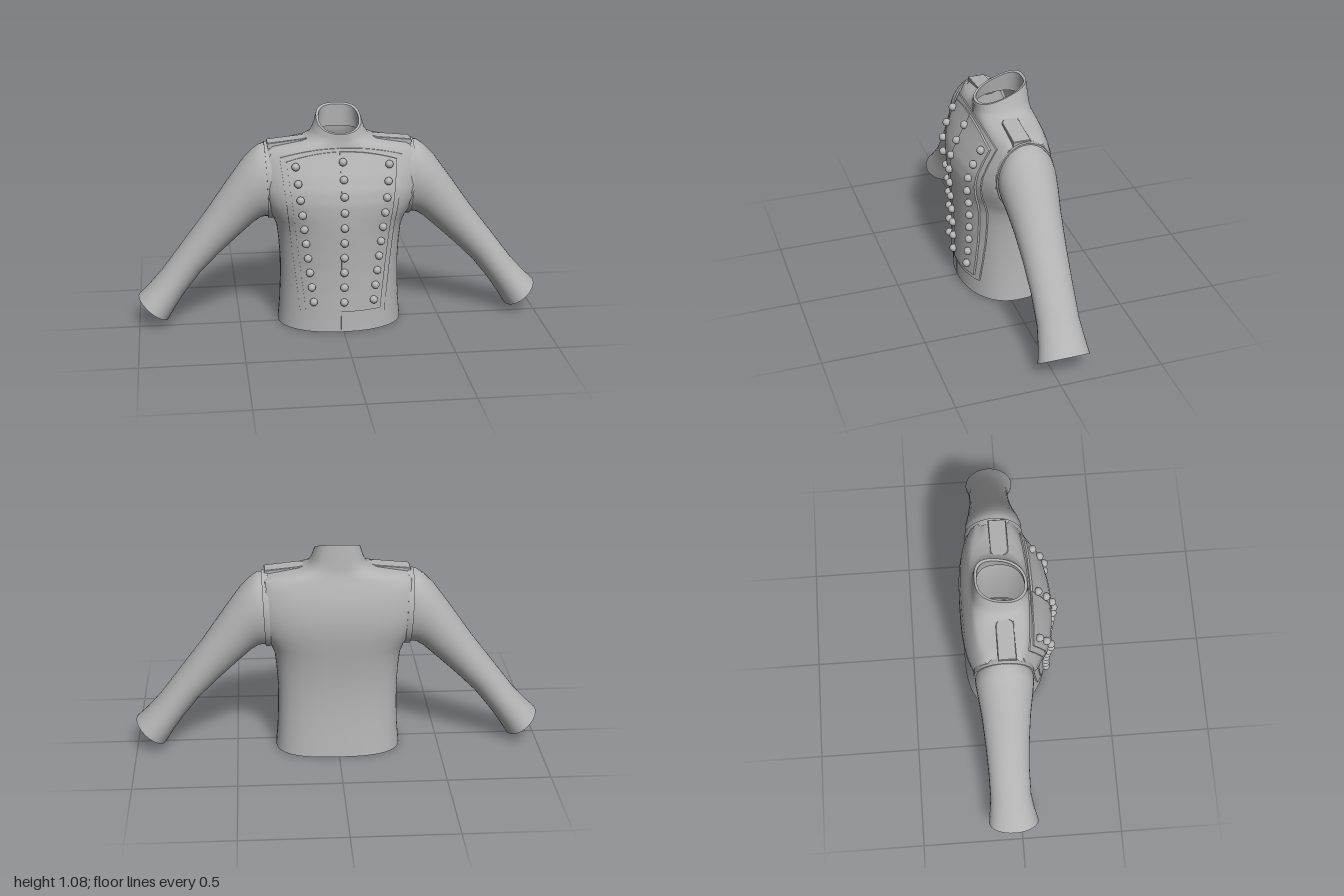
import * as THREE from 'three';
import { toCreasedNormals } from 'three/addons/utils/BufferGeometryUtils.js';

const cloth = new THREE.MeshStandardMaterial({ color: 0xb3b3b3, side: THREE.DoubleSide });
cloth.name = 'grey cloth';

const MID = -0.035;     // z of the side seams
const ARMHOLE = 0.352;  // x of the flat armhole wall
const N_FRONT = 2.2, N_BACK = 2.7;

// Torso rings: [height, half width, front z, back z, slant]
const BODY = [
  [0, 0.308, 0.187, -0.232, 0],
  [0.1, 0.299, 0.183, -0.22, 0],
  [0.2, 0.295, 0.181, -0.209, 0],
  [0.32, 0.294, 0.182, -0.203, 0],
  [0.42, 0.3, 0.187, -0.208, 0],
  [0.5, 0.309, 0.192, -0.217, 0],
  [0.55, 0.328, 0.195, -0.224, 0],
  [0.6, 0.365, 0.197, -0.231, 0],
  [0.66, 0.4, 0.196, -0.237, 0],
  [0.72, 0.42, 0.184, -0.235, 0],
  [0.79, 0.422, 0.154, -0.226, 0],
  [0.85, 0.417, 0.122, -0.208, 0],
  [0.89, 0.395, 0.102, -0.191, 0],
  [0.91, 0.345, 0.096, -0.183, 0],
  [0.922, 0.27, 0.093, -0.179, 0],
  [0.936, 0.19, 0.091, -0.174, 0],
  [0.953, 0.145, 0.09, -0.171, 0.05],
  [0.98, 0.127, 0.09, -0.167, 0.15],
  [1.03, 0.109, 0.089, -0.158, 0.4],
];

// Skin between closed rings of equal length
function loft(rings) {
  const n = rings[0].length, pos = rings.flat(2), idx = [];
  for (let r = 0; r < rings.length - 1; r++) {
    for (let i = 0; i < n; i++) {
      const a = r * n + i, b = r * n + (i + 1) % n;
      idx.push(a, a + n, b, b, a + n, b + n);
    }
  }
  return finish(pos, idx);
}

function finish(pos, idx) {
  const g = new THREE.BufferGeometry();
  g.setAttribute('position', new THREE.Float32BufferAttribute(pos, 3));
  g.setIndex(idx);
  return toCreasedNormals(g, 0.7);
}

function bodyRing([y, a, zf, zb, slant], count = 64) {
  return Array.from({ length: count }, (_, i) => {
    const t = (i / count) * Math.PI * 2, c = Math.cos(t), s = Math.sin(t);
    const e = 2 / (s >= 0 ? N_FRONT : N_BACK);
    const x = Math.sign(c) * a * Math.abs(c) ** e;
    const z = MID + (s >= 0 ? zf - MID : zb - MID) * Math.abs(s) ** e;
    return [THREE.MathUtils.clamp(x, -ARMHOLE, ARMHOLE), y - slant * (z - MID), z];
  });
}

// z of the chest surface at a given x and y
function chestZ(x, y) {
  let k = 0;
  while (k < BODY.length - 2 && BODY[k + 1][0] < y) k++;
  const t = (y - BODY[k][0]) / (BODY[k + 1][0] - BODY[k][0]);
  const a = THREE.MathUtils.lerp(BODY[k][1], BODY[k + 1][1], t);
  const zf = THREE.MathUtils.lerp(BODY[k][2], BODY[k + 1][2], t);
  const f = Math.max(0, 1 - Math.abs(x / a) ** N_FRONT) ** (1 / N_FRONT);
  return MID + (zf - MID) * f;
}

// Raised patch lying on the chest; at(u, v) gives [x, y]
function chestPatch(at, lift, nu, nv) {
  const pos = [], idx = [], w = nu + 3;
  for (let j = -1; j <= nv + 1; j++) {
    for (let i = -1; i <= nu + 1; i++) {
      const edge = i < 0 || j < 0 || i > nu || j > nv;
      const [x, y] = at(THREE.MathUtils.clamp(i / nu, 0, 1), THREE.MathUtils.clamp(j / nv, 0, 1));
      pos.push(x, y, chestZ(x, y) + (edge ? -0.006 : lift));
      if (i <= nu && j <= nv) {
        const a = (j + 1) * w + i + 1;
        idx.push(a, a + 1, a + w + 1, a, a + w + 1, a + w);
      }
    }
  }
  return finish(pos, idx);
}

// Trapezoid with a bowed top edge, between fractions u0 and u1 of its width
function trapezoid(topHalf, bottomHalf, topY, bottomY, x0 = null, x1 = null) {
  return (u, v) => {
    const half = THREE.MathUtils.lerp(bottomHalf, topHalf, v);
    const x = THREE.MathUtils.lerp(x0 ?? -half, x1 ?? half, u);
    return [x, THREE.MathUtils.lerp(bottomY, topY - 0.045 * (x / topHalf) ** 2, v)];
  };
}

// Sleeve ring from its upper point, lower point and z limits
function armRing([tx, ty, bx, by, zf, zb], side, grow = 1, count = 32) {
  const cx = (tx + bx) / 2, cy = (ty + by) / 2, cz = (zf + zb) / 2;
  return Array.from({ length: count }, (_, i) => {
    const t = (i / count) * Math.PI * 2, c = Math.cos(t) * grow, s = Math.sin(t) * grow;
    return [side * (cx + (tx - bx) / 2 * c), cy + (ty - by) / 2 * c, cz - side * (zf - zb) / 2 * s];
  });
}

const SLEEVE = [
  [0.35, 0.912, 0.335, 0.545, 0.085, -0.178],
  [0.385, 0.91, 0.365, 0.545, 0.092, -0.186],
  [0.42, 0.885, 0.385, 0.542, 0.092, -0.184],
  [0.47, 0.835, 0.42, 0.52, 0.085, -0.178],
  [0.55, 0.725, 0.49, 0.457, 0.07, -0.166],
  [0.66, 0.567, 0.59, 0.365, 0.057, -0.157],
  [0.77, 0.422, 0.685, 0.27, 0.051, -0.151],
  [0.88, 0.276, 0.765, 0.168, 0.053, -0.15],
  [0.95, 0.198, 0.815, 0.095, 0.068, -0.158],
  [1.0, 0.15, 0.855, 0.03, 0.084, -0.165],
];

export function createModel() {
  const model = new THREE.Group();
  const add = (name, geometry, parent = model) => {
    const mesh = new THREE.Mesh(geometry, cloth);
    mesh.name = name;
    parent.add(mesh);
    return mesh;
  };

  // Body and collar with turned-in hem and collar edge
  const shell = [
    [0.06, 0.282, 0.165, -0.208, 0],
    [0, 0.293, 0.172, -0.217, 0],
    ...BODY,
    [1.028, 0.097, 0.076, -0.146, 0.4],
    [0.95, 0.11, 0.076, -0.15, 0.1],
  ];
  add('body', loft(shell.map((r) => bodyRing(r))));

  // Front opening, panel border and overlapping panel halves
  add('frontSeam', chestPatch((u, v) => [-0.013 + 0.005 * u, 0.002 + 0.955 * v], 0.003, 1, 40));
  add('panelBorder', chestPatch(trapezoid(0.297, 0.208, 0.915, 0.085), 0.006, 32, 48));
  add('rightPanel', chestPatch(trapezoid(0.268, 0.184, 0.9, 0.11, null, -0.012), 0.011, 18, 48));
  add('leftPanel', chestPatch(trapezoid(0.268, 0.184, 0.9, 0.11, -0.012), 0.015, 18, 48));

  // Three columns of ten buttons
  const buttons = new THREE.Group();
  buttons.name = 'buttons';
  model.add(buttons);
  const ball = new THREE.SphereGeometry(0.0195, 16, 12);
  for (let i = 0; i < 10; i++) {
    for (const side of [-1, 0, 1]) {
      const t = i / 9;
      const x = side * THREE.MathUtils.lerp(0.148, 0.226, t);
      const y = 0.163 + t * (side ? 0.675 : 0.695);
      add('button', ball, buttons).position.set(x, y, chestZ(x, y) + 0.024);
    }
  }

  // Shoulder strap outline: square outside, rounded towards the neck
  const outline = new THREE.Shape();
  outline.moveTo(0.19, -0.04);
  outline.lineTo(0, -0.04);
  outline.lineTo(0, 0.04);
  outline.lineTo(0.155, 0.04);
  outline.quadraticCurveTo(0.19, 0.04, 0.19, 0);
  outline.quadraticCurveTo(0.19, -0.04, 0.155, -0.04);
  const strap = new THREE.ExtrudeGeometry(outline, {
    depth: 0.024, bevelEnabled: true, bevelSize: 0.003, bevelThickness: 0.003, bevelSegments: 1,
  });
  strap.rotateX(-Math.PI / 2);

  for (const side of [1, -1]) {
    const label = side > 0 ? 'left' : 'right';

    // Sleeve with a turned-in cuff
    const rings = SLEEVE.map((r) => armRing(r, side));
    rings.push(armRing(SLEEVE[9], side, 0.86), armRing(SLEEVE[8], side, 0.86), armRing(SLEEVE[6], side, 0.86));
    add(label + 'Sleeve', loft(rings));

    // Raised band around the armhole
    const inner = [0.338, 0.918, 0.322, 0.535, 0.095, -0.19];
    const outer = [0.366, 0.918, 0.35, 0.535, 0.095, -0.19];
    add(label + 'ArmholeBand', loft([
      armRing(inner, side, 0.9), armRing(inner, side), armRing(outer, side), armRing(outer, side, 0.9),
    ]));

    // Shoulder strap sloping down to the armhole
    const holder = new THREE.Group();
    holder.name = label + 'ShoulderStrap';
    holder.position.set(side * 0.347, 0.9, -0.03);
    holder.rotation.y = side > 0 ? Math.PI : 0;
    model.add(holder);
    add('strap', strap, holder).rotation.z = 0.1;
  }

  return model;
}
